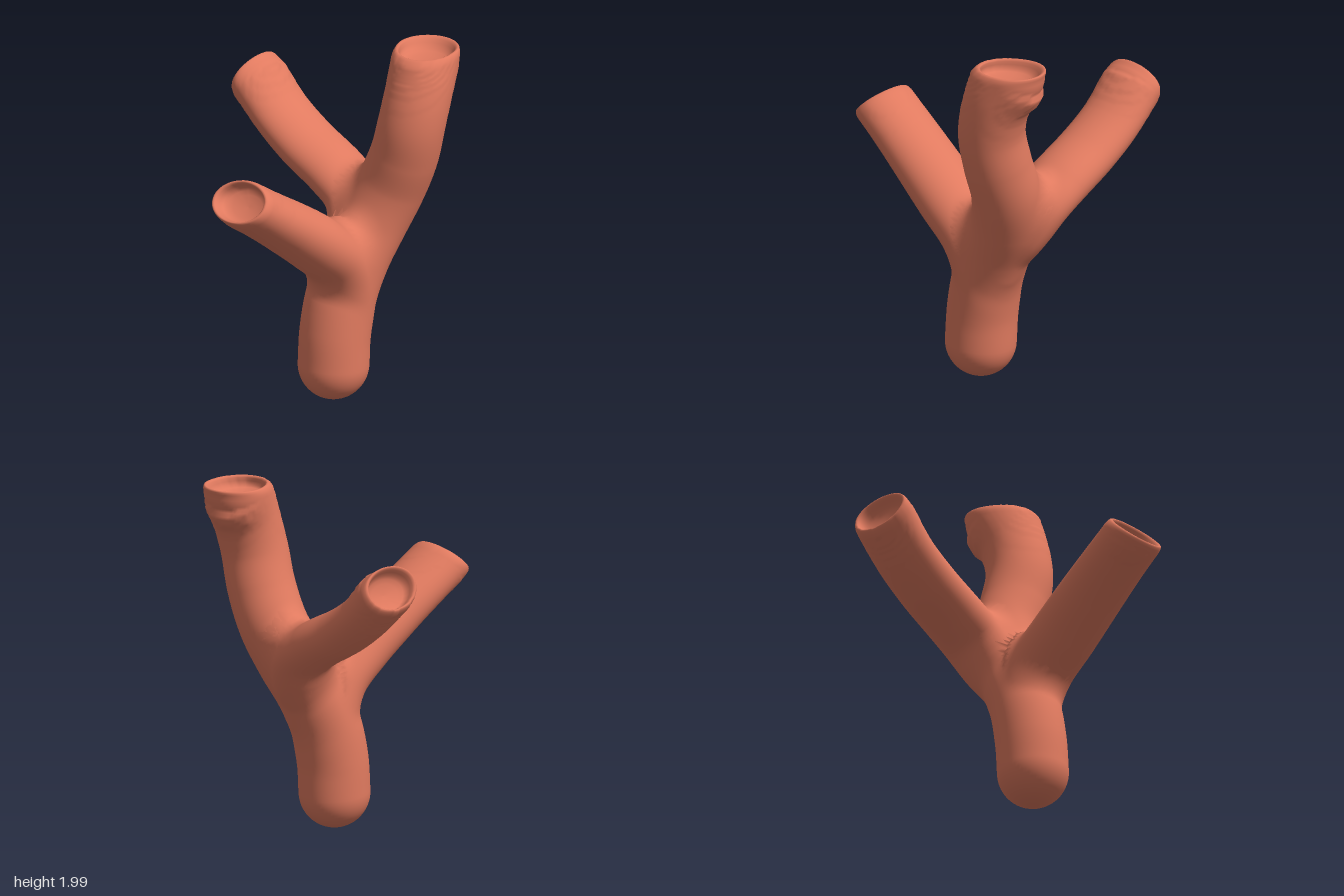
import * as THREE from 'three';

const V = (x, y, z) => new THREE.Vector3(x, y, z);
const SIDES = 64, RINGS = 100, BLEND = 0.13;

// Each limb: centre line, widthwise axis, direction its open end faces,
// half-width and half-thickness as [root, middle, end].
// The side branches start inside the trunk and bend out of it.
const LIMBS = [
  {
    name: 'trunk', side: V(1, 0, 0), cut: V(0, 1, 0), wide: [.197, .194, .184], thick: [.2, .192, .184], dome: true,
    path: [V(.215, .205, -.1), V(.215, .4, -.115), V(.222, .6, -.16), V(.242, .8, -.25), V(.285, 1, -.36),
      V(.355, 1.2, -.43), V(.435, 1.4, -.445), V(.485, 1.6, -.45), V(.496, 1.8, -.505), V(.472, 1.965, -.592)],
  },
  {
    name: 'frontBranch', side: V(1, 0, 0), cut: V(0, .71, .71), wide: [.193, .2, .192], thick: [.18, .166, .138],
    path: [V(.216, .4, -.13), V(.222, .55, -.155), V(.235, .7, -.14), V(.246, .84, -.07), V(.247, .99, .1),
      V(.23, 1.14, .3), V(.21, 1.28, .5), V(.197, 1.388, .658)],
  },
  {
    name: 'rightBranch', side: V(0, 0, 1), cut: V(-.93, .36, 0), wide: [.19, .195, .193], thick: [.16, .14, .122],
    path: [V(.235, .7, -.21), V(.215, .82, -.27), V(.17, .95, -.37), V(.09, 1.07, -.43), V(-.05, 1.165, -.445),
      V(-.27, 1.285, -.447), V(-.45, 1.412, -.45), V(-.624, 1.586, -.45)],
  },
];

// Rounded lip and shallow bowl: [scale of end ring, offset along the limb]
const LIP = [[.985, .016], [.96, .03], [.93, .038], [.89, .04], [.85, .036], [.82, .025], [.795, .005],
  [.76, -.02], [.67, -.035], [.5, -.045], [.25, -.052], [0.001, -.054]];

function radius([root, middle, end], u) {
  const first = THREE.MathUtils.lerp(root, middle, THREE.MathUtils.smoothstep(u, 0, 0.45));
  return THREE.MathUtils.lerp(first, end, THREE.MathUtils.smoothstep(u, 0.45, 1));
}

// Cross-section frames along a limb
function makeFrames(limb) {
  const curve = new THREE.CatmullRomCurve3(limb.path);
  const frames = [];
  for (let i = 0; i <= RINGS; i++) {
    const u = i / RINGS;
    const t = curve.getTangentAt(u);
    const n = t.clone().lerp(limb.cut, THREE.MathUtils.smoothstep(u, 0.75, 1)).normalize();
    const s = limb.side.clone().addScaledVector(n, -n.dot(limb.side)).normalize();
    frames.push({
      p: curve.getPointAt(u), t, n, s, v: n.clone().cross(s), tip: i === 0 || i === RINGS,
      a: radius(limb.wide, u), b: radius(limb.thick, u),
    });
  }
  return frames;
}

// Approximate distance to one limb; writes the outward direction into out
const tmp = new THREE.Vector3();
function limbDistance(frames, q, out) {
  let best = frames[0], min = Infinity;
  for (const f of frames) {
    const d = f.p.distanceToSquared(q);
    if (d < min) { min = d; best = f; }
  }
  const { p, s, v, n, a, b, tip } = best;
  tmp.subVectors(q, p);
  const x = tmp.dot(s) / a, y = tmp.dot(v) / b, z = tip ? tmp.dot(n) / b : 0;
  out.set(0, 0, 0).addScaledVector(s, x / a).addScaledVector(v, y / b).addScaledVector(n, z / b).normalize();
  return (Math.sqrt(x * x + y * y + z * z) - 1) * Math.min(a, b);
}

// Union of all limbs, rounded where their surfaces meet at an angle
const dirA = new THREE.Vector3(), dirB = new THREE.Vector3();
function distance(all, q) {
  let d = limbDistance(all[0], q, dirA);
  for (const frames of all.slice(1)) {
    const e = limbDistance(frames, q, dirB);
    const k = BLEND * (1 - dirA.dot(dirB)) + 0.005;
    const h = Math.max(k - Math.abs(d - e), 0) / k;
    if (e < d) dirA.copy(dirB);
    d = Math.min(d, e) - h * h * k / 4;
  }
  return d;
}

// Walk from the centre line outwards to the blended skin
function skinPoint(all, from, dir, limit) {
  const q = from.clone();
  let t = 0;
  for (let i = 0; i < 24 && t < limit; i++) {
    const d = distance(all, q);
    if (Math.abs(d) < 0.0003) break;
    t = Math.min(t - d, limit);
    q.copy(from).addScaledVector(dir, t);
  }
  return q;
}

function skinNormal(all, q) {
  const e = 0.015;
  const slope = (axis) => {
    const hi = q.clone(), lo = q.clone();
    hi[axis] += e;
    lo[axis] -= e;
    return distance(all, hi) - distance(all, lo);
  };
  return V(slope('x'), slope('y'), slope('z')).normalize();
}

function limbGeometry(limb, frames, all) {
  const rings = [];
  const addRing = (f, tilt) => {
    const ring = [];
    for (let j = 0; j < SIDES; j++) {
      const w = j / SIDES * Math.PI * 2;
      const dir = f.s.clone().multiplyScalar(Math.cos(w)).addScaledVector(f.v, Math.sin(w));
      dir.multiplyScalar(Math.cos(tilt)).addScaledVector(f.n, -Math.sin(tilt));
      ring.push(skinPoint(all, f.p, dir, f.a * 1.6));
    }
    rings.push(ring);
  };
  // Closed rounded foot
  if (limb.dome) for (let i = 14; i > 0; i--) addRing(frames[0], i / 14 * Math.PI / 2 * 0.999);
  frames.forEach((f) => addRing(f, 0));
  const bodyCount = rings.length * SIDES;
  // Open end
  const end = frames[RINGS], rim = rings[rings.length - 1];
  for (const [scale, offset] of LIP) {
    rings.push(rim.map((p) => p.clone().sub(end.p).multiplyScalar(scale).add(end.p).addScaledVector(end.t, offset)));
  }

  const index = [];
  for (let i = 0; i < rings.length - 1; i++) {
    for (let j = 0; j < SIDES; j++) {
      const k = (j + 1) % SIDES;
      const a = i * SIDES + j, b = i * SIDES + k, c = b + SIDES, d = a + SIDES;
      index.push(a, b, c, a, c, d);
    }
  }
  const points = rings.flat();
  const geometry = new THREE.BufferGeometry().setFromPoints(points);
  geometry.setIndex(index);
  geometry.computeVertexNormals();
  // Blended normals hide the joins; the plain ones serve near the open end
  const normals = geometry.attributes.normal;
  for (let i = 0; i < bodyCount - SIDES * 30; i++) {
    const n = skinNormal(all, points[i]);
    normals.setXYZ(i, n.x, n.y, n.z);
  }
  return geometry;
}

export function createModel() {
  const group = new THREE.Group();
  group.name = 'branchingTube';
  const material = new THREE.MeshStandardMaterial({ color: 0xe07a5f });
  const all = LIMBS.map(makeFrames);
  LIMBS.forEach((limb, i) => {
    const mesh = new THREE.Mesh(limbGeometry(limb, all[i], all), material);
    mesh.name = limb.name;
    group.add(mesh);
  });
  return group;
}
